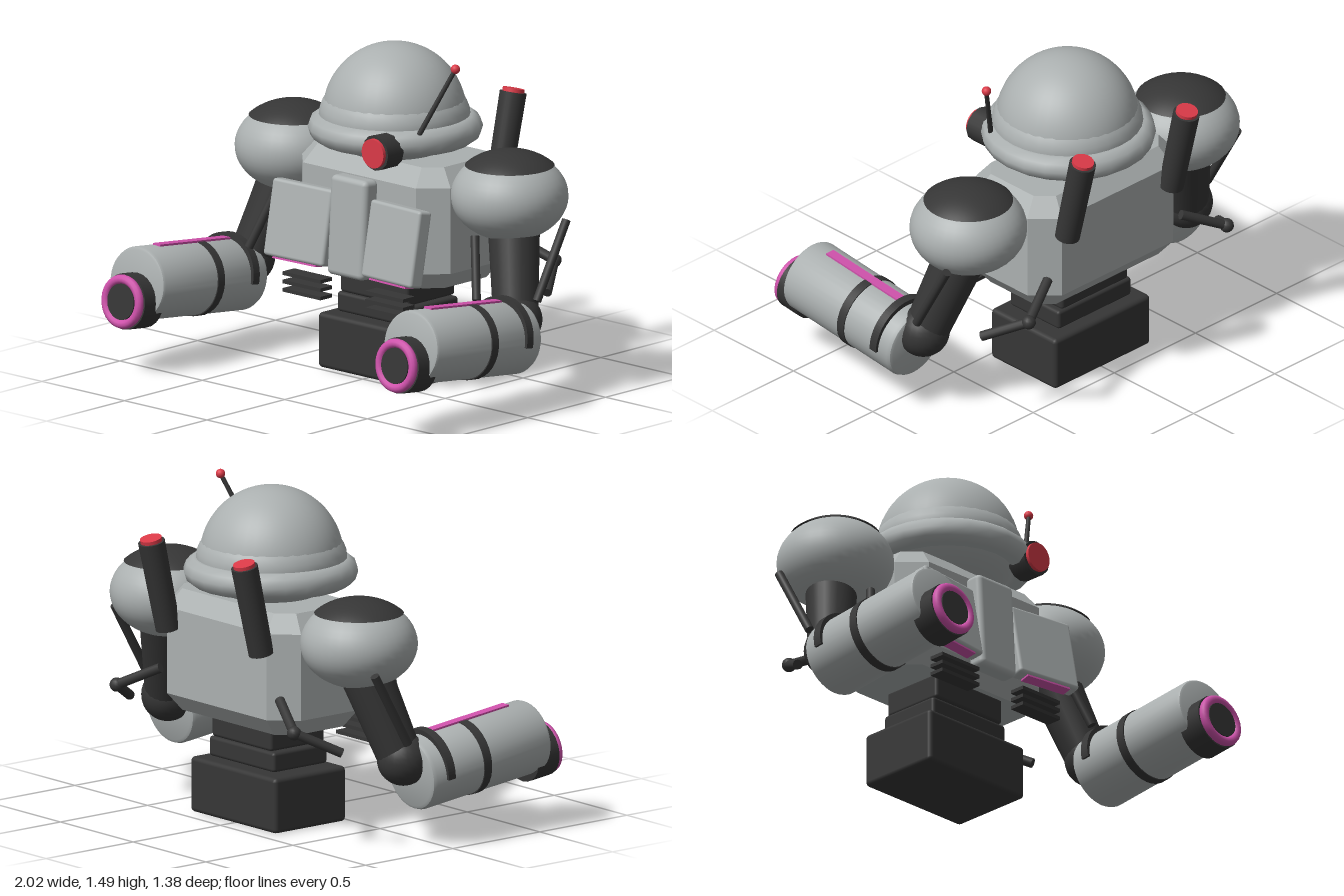
import * as THREE from 'three';
import { toCreasedNormals } from 'three/addons/utils/BufferGeometryUtils.js';
import { RoundedBoxGeometry } from 'three/addons/geometries/RoundedBoxGeometry.js';

const mat = (name, color, side = THREE.FrontSide) => {
  const m = new THREE.MeshStandardMaterial({ color, side });
  m.name = name;
  return m;
};

export function createModel() {
  const grey = mat('light grey armour', 0xabb0b0);
  const dark = mat('dark metal', 0x363636, THREE.DoubleSide);
  const red = mat('red lamp', 0xdb3a48);
  const pink = mat('magenta trim', 0xd052ac);
  const model = new THREE.Group();
  model.name = 'robot';

  const add = (parent, name, geo, material, x = 0, y = 0, z = 0) => {
    const mesh = new THREE.Mesh(geo, material);
    mesh.name = name;
    mesh.position.set(x, y, z);
    parent.add(mesh);
    return mesh;
  };
  const block = (w, h, d, r = 0.015) => new RoundedBoxGeometry(w, h, d, 2, r);
  const zCylinder = (r, len, sides = 32) => new THREE.CylinderGeometry(r, r, len, sides).rotateX(Math.PI / 2);
  // cylinder running between two points
  const rod = (parent, name, a, b, r0, r1, material, sides = 12) => {
    const p = new THREE.Vector3(...a), q = new THREE.Vector3(...b);
    const dir = q.clone().sub(p);
    const mesh = add(parent, name, new THREE.CylinderGeometry(r1, r0, dir.length(), sides), material);
    mesh.position.copy(p).add(q).multiplyScalar(0.5);
    mesh.quaternion.setFromUnitVectors(new THREE.Vector3(0, 1, 0), dir.normalize());
    return mesh;
  };

  // pedestal and waist
  add(model, 'pedestal', block(0.59, 0.25, 0.41, 0.02), dark, 0, 0.125, -0.225);
  add(model, 'lowerWaist', block(0.45, 0.09, 0.31), dark, 0, 0.303, -0.225);
  add(model, 'upperWaist', block(0.41, 0.12, 0.31), dark, 0, 0.41, -0.225);

  // chamfered torso: octagonal plan with bevelled top and bottom
  const hx = 0.385, hz = 0.205, c = 0.07;
  const plan = new THREE.Shape([
    [-hx + c, -hz], [hx - c, -hz], [hx, -hz + c], [hx, hz - c],
    [hx - c, hz], [-hx + c, hz], [-hx, hz - c], [-hx, -hz + c],
  ].map(([x, y]) => new THREE.Vector2(x, y)));
  const torsoGeo = new THREE.ExtrudeGeometry(plan, {
    depth: 0.39, bevelEnabled: true, bevelSize: 0.065, bevelThickness: 0.08, bevelSegments: 1,
  }).rotateX(-Math.PI / 2);
  add(model, 'torso', torsoGeo, grey, 0, 0.54, -0.25);

  // chest plates
  const centre = add(model, 'centreChestPlate', block(0.22, 0.45, 0.09, 0.025), grey, 0, 0.705, 0.065);
  centre.rotation.x = -0.06;

  // head
  add(model, 'dome', new THREE.SphereGeometry(0.318, 40, 20, 0, Math.PI * 2, 0, Math.PI / 2), grey, 0, 1.175, -0.205);
  add(model, 'collar', new THREE.TorusGeometry(0.325, 0.062, 10, 24).rotateX(Math.PI / 2), grey, 0, 1.115, -0.21);
  add(model, 'jaw', new THREE.SphereGeometry(0.335, 32, 20).scale(1, 0.6, 1), grey, 0, 1.17, -0.205);
  add(model, 'eyeHousing', zCylinder(0.08, 0.1, 12), dark, 0.207, 1.09, 0.09);
  add(model, 'eyeLens', zCylinder(0.066, 0.02, 24), red, 0.207, 1.09, 0.146);
  rod(model, 'antenna', [0.3, 1.14, -0.03], [0.432, 1.455, -0.135], 0.012, 0.01, dark);
  add(model, 'antennaTip', new THREE.SphereGeometry(0.021, 16, 12), red, 0.433, 1.46, -0.137);

  // forearm profile with softened end edges, and its half band
  const forearmGeo = toCreasedNormals(new THREE.LatheGeometry(
    [[0, -0.34], [0.145, -0.34], [0.158, -0.334], [0.165, -0.318], [0.165, 0.325], [0.16, 0.336], [0.15, 0.34], [0, 0.34]]
      .map(([r, y]) => new THREE.Vector2(r, y)), 36).rotateX(Math.PI / 2), 0.7);
  const halfBand = new THREE.Shape();
  halfBand.absarc(0, 0, 0.178, -0.15, Math.PI + 0.15, false);
  halfBand.absarc(0, 0, 0.155, Math.PI + 0.15, -0.15, true);
  const halfBandGeo = new THREE.ExtrudeGeometry(halfBand, { depth: 0.04, bevelEnabled: false, curveSegments: 24 });

  for (const s of [1, -1]) {
    const side = s > 0 ? 'left' : 'right';
    const arm = new THREE.Group();
    arm.name = side + 'Arm';
    model.add(arm);

    // angled chest plate with trim along its lower edge
    const plate = new THREE.Group();
    plate.name = side + 'ChestPlate';
    plate.position.set(s * 0.285, 0.68, 0.085);
    plate.rotation.set(-0.19, -s * 0.1, 0);
    model.add(plate);
    add(plate, 'plate', block(0.335, 0.345, 0.075), grey);
    add(plate, 'plateTrim', new THREE.BoxGeometry(0.24, 0.009, 0.05), pink, 0, -0.176, 0);

    // belly louvres
    for (let i = 0; i < 3; i++)
      add(model, side + 'Louvre', new THREE.BoxGeometry(0.23, 0.016, 0.075), dark, s * 0.25, 0.366 + i * 0.038, 0.09);

    // back cannon
    rod(model, side + 'Cannon', [s * 0.32, 0.84, -0.532], [s * 0.32, 1.247, -0.628], 0.056, 0.06, dark, 24);
    rod(model, side + 'CannonLamp', [s * 0.32, 1.245, -0.6275], [s * 0.32, 1.263, -0.632], 0.049, 0.049, red, 24);

    // shoulder with dark cap
    add(arm, 'shoulder', new THREE.SphereGeometry(0.26, 36, 24).scale(1, 0.76, 1), grey, s * 0.655, 0.905, -0.25);
    add(arm, 'shoulderCap', new THREE.SphereGeometry(0.266, 36, 10, 0, Math.PI * 2, 0, 0.84).scale(1, 0.77, 1),
      dark, s * 0.655, 0.907, -0.25);

    // upper arm and elbow
    rod(arm, 'upperArm', [s * 0.8, 0.4, -0.135], [s * 0.69, 0.77, -0.24], 0.1, 0.115, dark, 24);
    add(arm, 'elbow', new THREE.SphereGeometry(0.118, 24, 16), dark, s * 0.81, 0.39, -0.125);

    // pistons beside the arm
    rod(arm, 'outerPiston', [s * 0.895, 0.48, -0.17], [s * 0.895, 0.815, -0.36], 0.02, 0.02, dark);
    rod(arm, 'innerPiston', [s * 0.69, 0.48, 0], [s * 0.6, 0.74, -0.085], 0.02, 0.02, dark);

    // bent strut from the back
    const bend = [s * 0.61, 0.54, -0.585];
    rod(arm, 'strutInner', [s * 0.41, 0.64, -0.5], bend, 0.022, 0.022, dark);
    rod(arm, 'strutOuter', bend, [s * 0.73, 0.445, -0.41], 0.022, 0.022, dark);
    add(arm, 'strutJoint', new THREE.SphereGeometry(0.032, 14, 10), dark, ...bend);

    // forearm, its axis along local z
    const fore = new THREE.Group();
    fore.name = 'forearm';
    fore.position.set(s * 0.83, 0.358, 0.235);
    fore.rotation.x = -0.11;
    arm.add(fore);
    add(fore, 'forearmShell', forearmGeo, grey);
    add(fore, 'band', zCylinder(0.17, 0.042), dark, 0, 0, -0.03);
    add(fore, 'halfBand', halfBandGeo, dark, 0, 0.01, -0.265);
    add(fore, 'stripe', new THREE.BoxGeometry(0.045, 0.009, 0.455), pink, -s * 0.008, 0.168, 0.01);

    // muzzle, set below the forearm axis
    add(fore, 'muzzle', zCylinder(0.125, 0.12, 24), dark, 0, -0.075, 0.35);
    add(fore, 'muzzleRing', new THREE.TorusGeometry(0.1, 0.021, 10, 32), pink, 0, -0.075, 0.421);
    add(fore, 'muzzleCore', zCylinder(0.08, 0.04), dark, 0, -0.075, 0.415);
  }
  return model;
}
